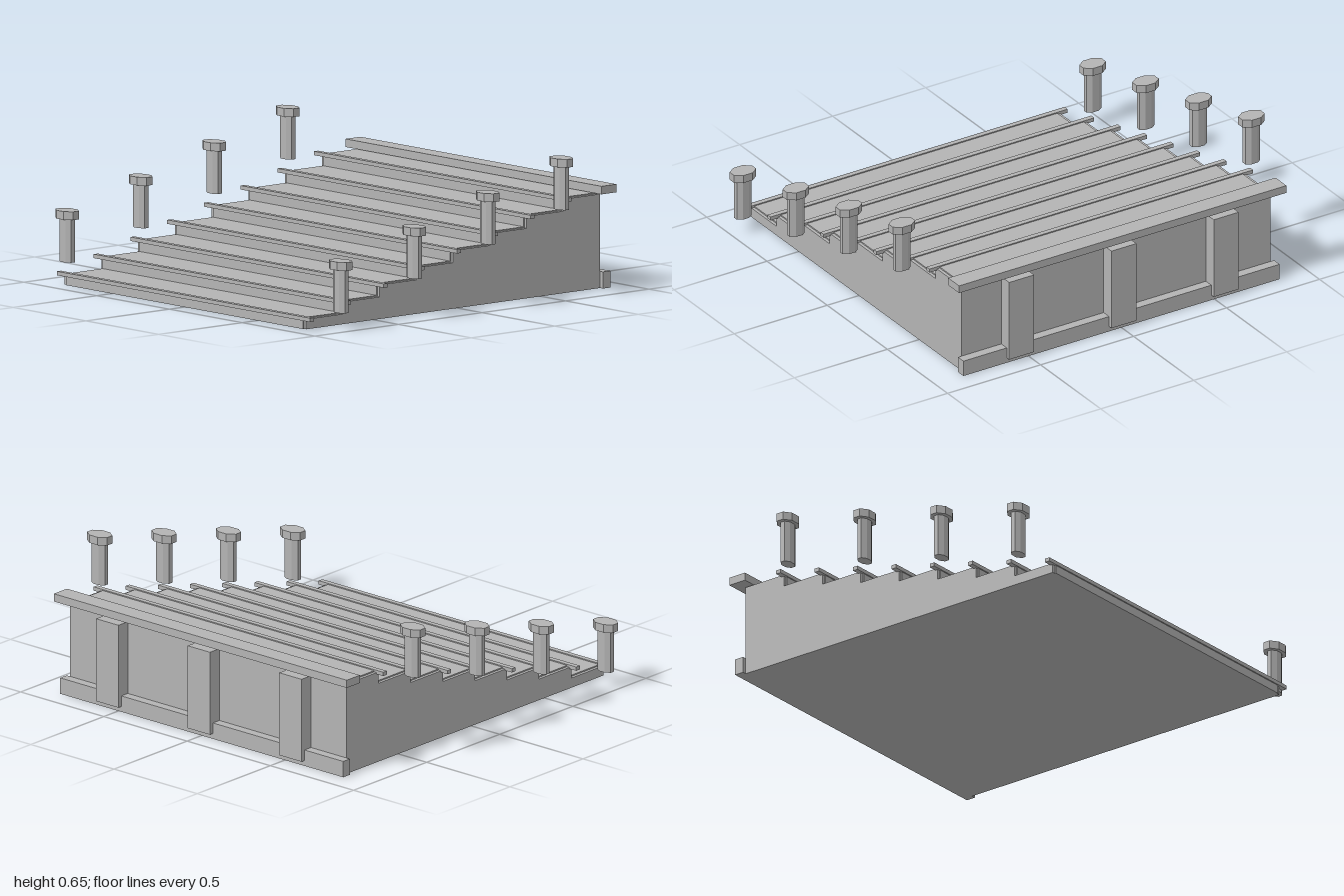
import * as THREE from 'three';

const stone = new THREE.MeshStandardMaterial({ color: 0xb4b4b4, flatShading: true });
stone.name = 'stone grey';

const STEPS = 8, RUN = 0.22, RISE = 0.0548, FRONT = 0.91, BACK = -0.855;

export function createModel() {
  const model = new THREE.Group();
  model.name = 'staircase';

  const add = (name, geometry, x = 0, y = 0, z = 0) => {
    const mesh = new THREE.Mesh(geometry, stone);
    mesh.name = name;
    mesh.position.set(x, y, z);
    model.add(mesh);
    return mesh;
  };
  // Box given by its extents in y and z and its centre and width in x
  const box = (name, x, w, y0, y1, z0, z1) =>
    add(name, new THREE.BoxGeometry(w, y1 - y0, z1 - z0), x, (y0 + y1) / 2, (z0 + z1) / 2);

  // Stepped side profile, drawn in (z, y) and extruded across x
  const flight = (name, x, w, inset) => {
    const shape = new THREE.Shape();
    shape.moveTo(BACK, 0);
    shape.lineTo(FRONT - inset, 0);
    for (let i = 0; i < STEPS; i++) {
      const z = FRONT - inset - i * RUN;
      const y = 0.052 + i * RISE - inset;
      shape.lineTo(z, y);
      shape.lineTo(i < STEPS - 1 ? z - RUN : BACK, y);
    }
    shape.closePath();
    const geometry = new THREE.ExtrudeGeometry(shape, { depth: w, bevelEnabled: false });
    geometry.translate(0, 0, -w / 2);
    geometry.rotateY(-Math.PI / 2);
    geometry.scale(-1, 1, 1);
    // Turn the profile so that its first axis runs along +z
    geometry.scale(-1, 1, 1);
    add(name, geometry, x);
  };
  flight('steps', 0, 1.63, 0);
  for (const s of [-1, 1]) flight('sidePanel', s * 0.8225, 0.015, 0.006);

  // Overhanging nosing on each step
  for (let i = 0; i < STEPS; i++) {
    const y = 0.057 + i * RISE, z = FRONT + 0.006 - i * RUN;
    box('nosing', 0, 1.74, y - 0.018, y, z - 0.025, z);
  }

  // Landing beam, rear plinth and rear buttresses
  box('landingBeam', 0, 1.76, 0.438, 0.475, -0.91, -0.82);
  box('rearPlinth', 0, 1.7, 0, 0.076, -0.9, -0.855);
  for (const x of [-0.55, 0, 0.55]) box('buttress', x, 0.134, 0.025, 0.42, -0.92, -0.855);

  // Oval eight-sided posts climbing both sides
  const oval = (rx, rz, h) => {
    const geometry = new THREE.CylinderGeometry(1, 1, h, 8);
    geometry.rotateY(Math.PI / 8);
    const k = 1 / Math.cos(Math.PI / 8);
    return geometry.scale(rx * k, 1, rz * k);
  };
  for (const s of [-1, 1]) {
    for (let i = 0; i < 4; i++) {
      const y = 0.08 + i * 0.11, z = 0.793 - i * 0.44;
      add('post', oval(0.04, 0.026, 0.2), s * 0.94, y + 0.1, z);
      add('postCap', oval(0.06, 0.043, 0.038), s * 0.94, y + 0.217, z);
    }
  }
  return model;
}
